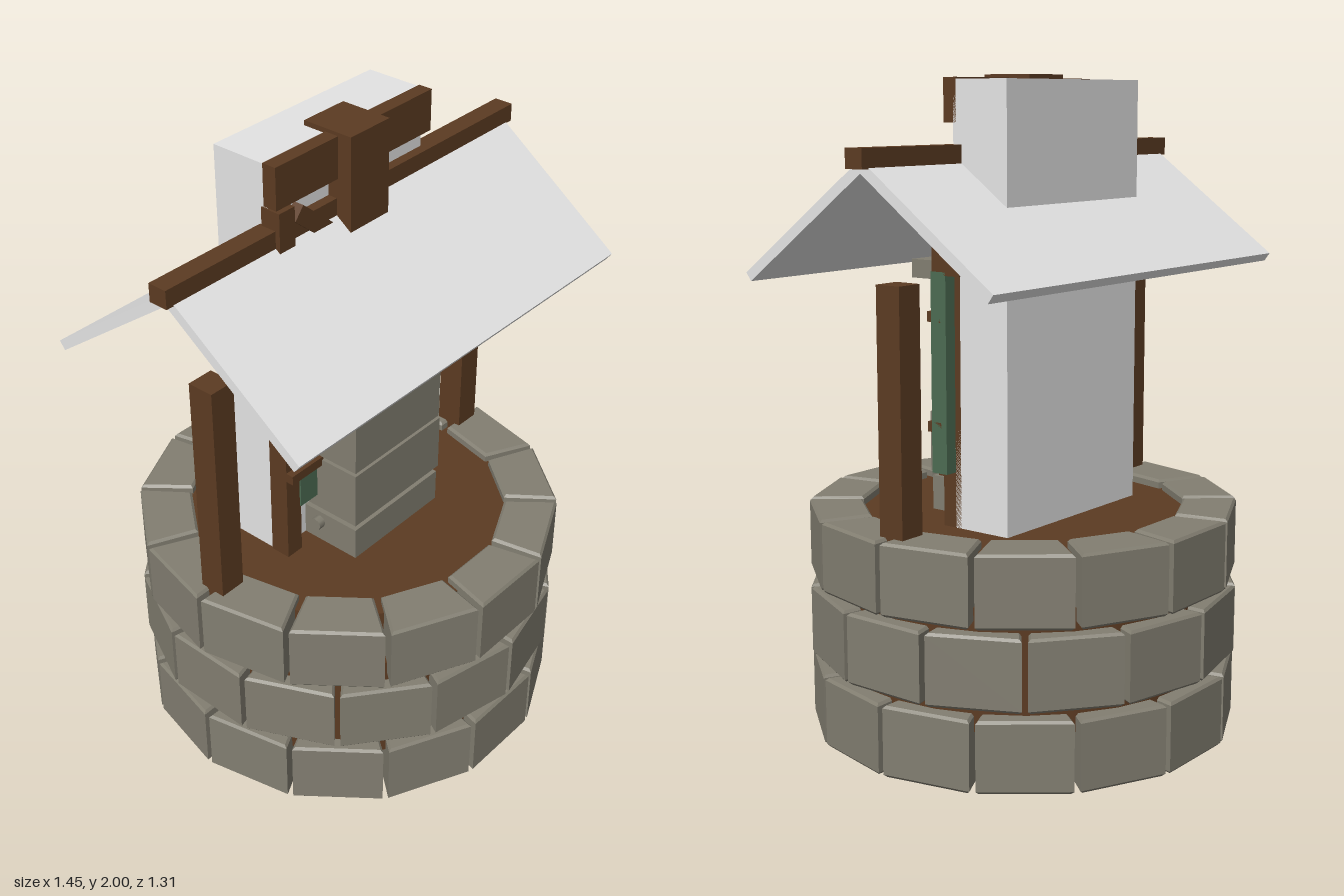
import * as THREE from 'three';

const mat = (name, color) => {
  const m = new THREE.MeshStandardMaterial({ color });
  m.name = name;
  return m;
};

export function createModel() {
  const model = new THREE.Group();
  model.name = 'well';
  const stone = mat('stone', 0x827e71);
  const wood = mat('brown wood', 0x5c3b22);
  const white = mat('white plaster', 0xe4e4e4);
  const green = mat('green paint', 0x4c6b52);

  const add = (name, geo, material, parent = model) => {
    const m = new THREE.Mesh(geo, material);
    m.name = name;
    parent.add(m);
    return m;
  };
  // Box given by its lower and upper limits on each axis
  const box = (name, material, x0, x1, y0, y1, z0, z1, parent) => {
    const m = add(name, new THREE.BoxGeometry(x1 - x0, y1 - y0, z1 - z0), material, parent);
    m.position.set((x0 + x1) / 2, (y0 + y1) / 2, (z0 + z1) / 2);
    return m;
  };

  // Wedge-shaped wall stone with slightly worn edges
  const b = 0.008;
  const wedge = new THREE.Shape([
    new THREE.Vector2(-0.1 + b, -0.48 - b), new THREE.Vector2(-0.136 + b, -0.64 + b),
    new THREE.Vector2(0.136 - b, -0.64 + b), new THREE.Vector2(0.1 - b, -0.48 - b),
  ]);
  const stoneGeo = new THREE.ExtrudeGeometry(wedge, {
    depth: 0.214 - 2 * b, bevelEnabled: true, bevelSize: b, bevelThickness: b, bevelSegments: 1,
  });
  stoneGeo.translate(0, 0, b).rotateX(-Math.PI / 2);

  // Three courses of fourteen stones, the middle one staggered
  const count = 14;
  [0.04, 0.279, 0.514].forEach((y, row) => {
    const course = new THREE.Group();
    course.name = 'stoneCourse' + (row + 1);
    for (let i = 0; i < count; i++) {
      const s = add('wallStone', stoneGeo, stone, course);
      s.rotation.y = ((i + (row === 1 ? 0.5 : 0)) / count) * Math.PI * 2 - 0.01;
    }
    course.position.y = y;
    model.add(course);
  });

  // Wooden core filling the wall
  add('core', new THREE.CylinderGeometry(0.535, 0.535, 0.665, 28), wood).position.y = 0.3675;
  add('coreBand', new THREE.CylinderGeometry(0.595, 0.595, 0.36, 28), wood).position.y = 0.38;

  // Roof posts, ridge beam and two sloping roof panels
  for (const s of [-1, 1]) {
    box('roofPost', wood, s * 0.56 - 0.042, s * 0.56 + 0.042, 0.6, 1.435, -0.042, 0.042);
    const pivot = new THREE.Group();
    pivot.name = 'roofSlope';
    pivot.position.set(0, 1.775, 0);
    pivot.rotation.x = s * 0.63;
    box('roofPanel', white, -0.7, 0.7, -0.03, 0, s > 0 ? 0 : -0.55, s > 0 ? 0.55 : 0, pivot);
    model.add(pivot);
  }
  box('ridgeBeam', wood, -0.725, 0.725, 1.75, 1.805, -0.03, 0.03);

  // White tower with its timber frame
  box('tower', white, -0.32, 0.32, 0.1, 1.985, -0.19, 0);
  box('towerTopBeam', wood, -0.325, 0.32, 1.865, 1.99, -0.01, 0.035);
  box('kingPost', wood, -0.08, 0.08, 1.46, 2, -0.085, 0.08);
  box('frameHeader', wood, -0.36, 0.36, 1.44, 1.54, -0.05, 0.05);
  box('framePostRight', wood, -0.325, -0.265, 0.6, 1.86, -0.02, 0.045);
  box('framePostLeft', wood, 0.26, 0.32, 0.6, 1.45, -0.02, 0.045);
  const brace = box('brace', wood, -0.28, -0.04, 1.725, 1.775, 0.005, 0.04);
  brace.rotation.z = -0.7;
  brace.position.x = -0.15;
  box('innerBrace', wood, -0.1, 0.1, 1.465, 1.6, 0.08, 0.1);

  // Shutters with cross bars
  for (const [x0, x1, zg] of [[-0.27, -0.19, 0.05], [0.235, 0.36, 0.055]]) {
    box('shutter', green, x0, x1, 0.865, 1.45, 0, zg);
    for (const y of [0.985, 1.305])
      box('shutterBar', wood, x0 < 0 ? -0.325 : x0, x1, y, y + 0.03, 0.02, 0.07);
  }
  box('chimneyStrip', wood, 0.195, 0.225, 0.72, 1.45, 0.01, 0.05);
  box('stripFoot', wood, 0.19, 0.24, 0.8, 0.85, 0.01, 0.06);

  // Chimney blocks around a wooden core, with a capping slab
  box('chimneyCore', wood, -0.18, 0.18, 0.6, 1.42, -0.15, 0.185);
  [[0.6, 0.805, 0.19], [0.822, 1.005, 0.198], [1.017, 1.197, 0.192], [1.212, 1.395, 0.187]]
    .forEach(([y0, y1, x]) => box('chimneyBlock', stone, -0.197, x, y0, y1, -0.17, 0.2));
  box('chimneyCap', stone, -0.235, 0.235, 1.41, 1.465, -0.23, 0.235);
  const peg = add('peg', new THREE.CylinderGeometry(0.02, 0.02, 0.47, 8), stone);
  peg.rotation.z = Math.PI / 2;
  peg.position.set(0.015, 0.77, 0.06);

  // Tilted boards showing under the base
  for (const s of [-1, 1]) {
    const foot = new THREE.Group();
    foot.name = 'underBoard';
    foot.position.set(0, 0.045, s * 0.31);
    foot.rotation.x = s * 0.63;
    box('boardEdge', white, -0.32, 0.32, -0.02, 0.015, -0.015, 0.015, foot);
    box('boardRib', wood, -0.027, 0.027, -0.028, 0.028, -0.03, 0.03, foot);
    model.add(foot);
  }
  return model;
}
